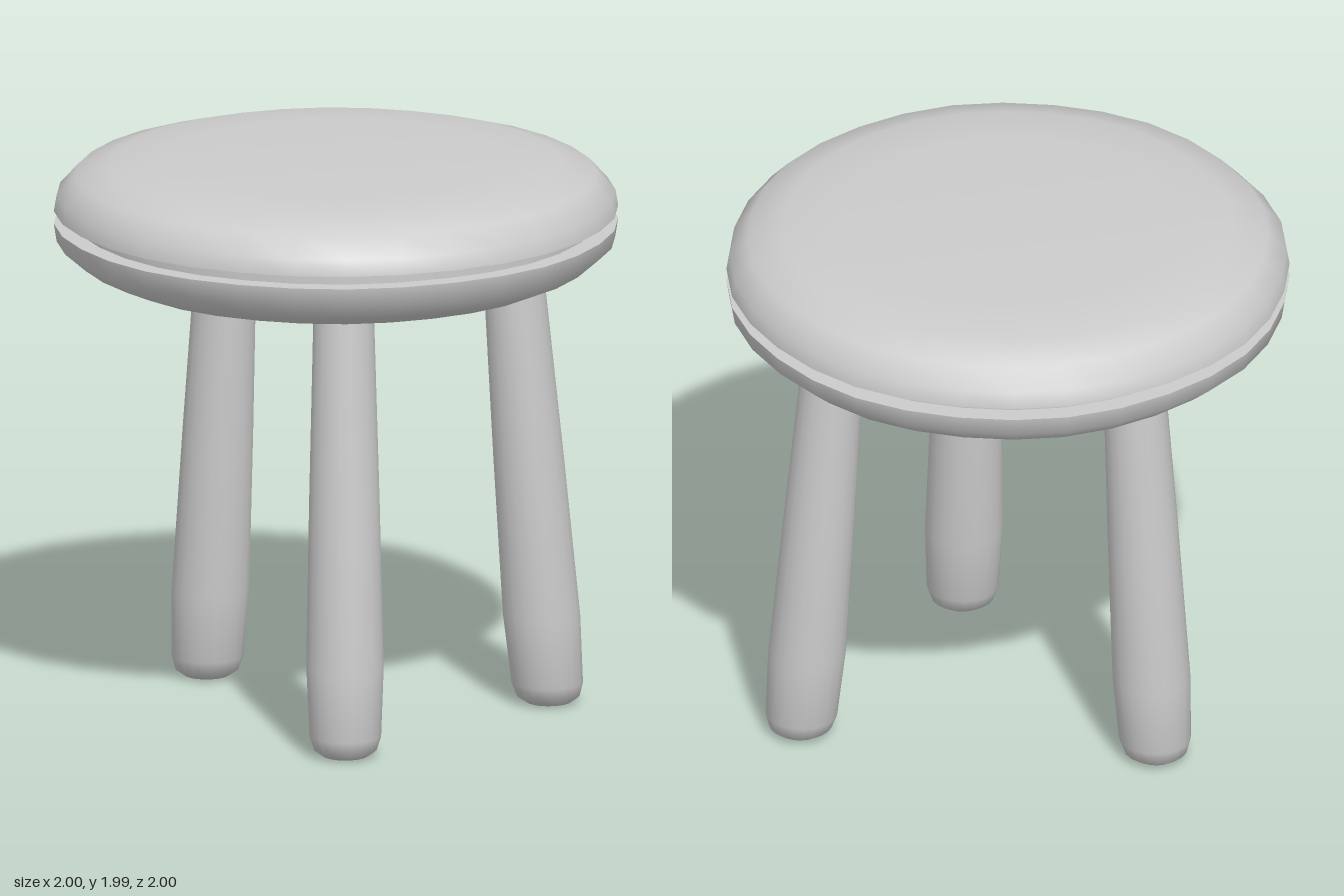
import * as THREE from 'three';
import { toCreasedNormals } from 'three/addons/utils/BufferGeometryUtils.js';

const material = new THREE.MeshStandardMaterial({ color: 0xcccccc });

// Revolve a [radius, y] profile given from bottom to top, optionally moving vertices by a rule
function turned(name, profile, sides, rule) {
  const geometry = new THREE.LatheGeometry(profile.map(([r, y]) => new THREE.Vector2(r, y)), sides);
  const pos = geometry.attributes.position;
  const v = new THREE.Vector3();
  for (let i = 0; rule && i < pos.count; i++) {
    rule(v.fromBufferAttribute(pos, i));
    pos.setXYZ(i, v.x, v.y, v.z);
  }
  const mesh = new THREE.Mesh(toCreasedNormals(geometry, THREE.MathUtils.degToRad(50)), material);
  mesh.name = name;
  return mesh;
}

// Slightly faceted seat outline, fullest at every eighth of the circle
function seatOutline(v) {
  const k = 1 - 0.003 * (1 - Math.cos(8 * Math.atan2(v.x, v.z)));
  v.x *= k;
  v.z *= k;
}

const legProfile = [
  [0, 0], [0.08, 0.003], [0.112, 0.025], [0.128, 0.075],
  [0.138, 0.32], [0.126, 0.9], [0.107, 1.62],
];

// Club-shaped leg that leans from its foot to its top
function leg(name, foot, top) {
  return turned(name, legProfile, 20, (v) => {
    const t = v.y / 1.6;
    v.x += foot[0] + (top[0] - foot[0]) * t;
    v.z += foot[1] + (top[1] - foot[1]) * t;
  });
}

export function createModel() {
  const stool = new THREE.Group();
  stool.name = 'stool';

  // Domed upper disc
  stool.add(turned('seatTop', [
    [0, 1.81], [1, 1.81], [0.99, 1.868], [0.925, 1.938], [0.8, 1.976], [0.6, 1.99], [0, 1.99],
  ], 32, seatOutline));

  // Recessed band between the two discs
  stool.add(turned('seatGroove', [[0.93, 1.75], [0.93, 1.82]], 32, seatOutline));

  // Rounded lower disc
  stool.add(turned('seatBase', [
    [0, 1.59], [0.81, 1.59], [0.915, 1.635], [0.99, 1.7], [1, 1.765], [0, 1.765],
  ], 32, seatOutline));

  // Two front legs and one back leg
  for (const side of [-1, 1]) {
    stool.add(leg(side > 0 ? 'frontLeftLeg' : 'frontRightLeg', [0.533 * side, 0.533], [0.443 * side, 0.443]));
  }
  stool.add(leg('backLeg', [0, -0.622], [0, -0.525]));

  return stool;
}
